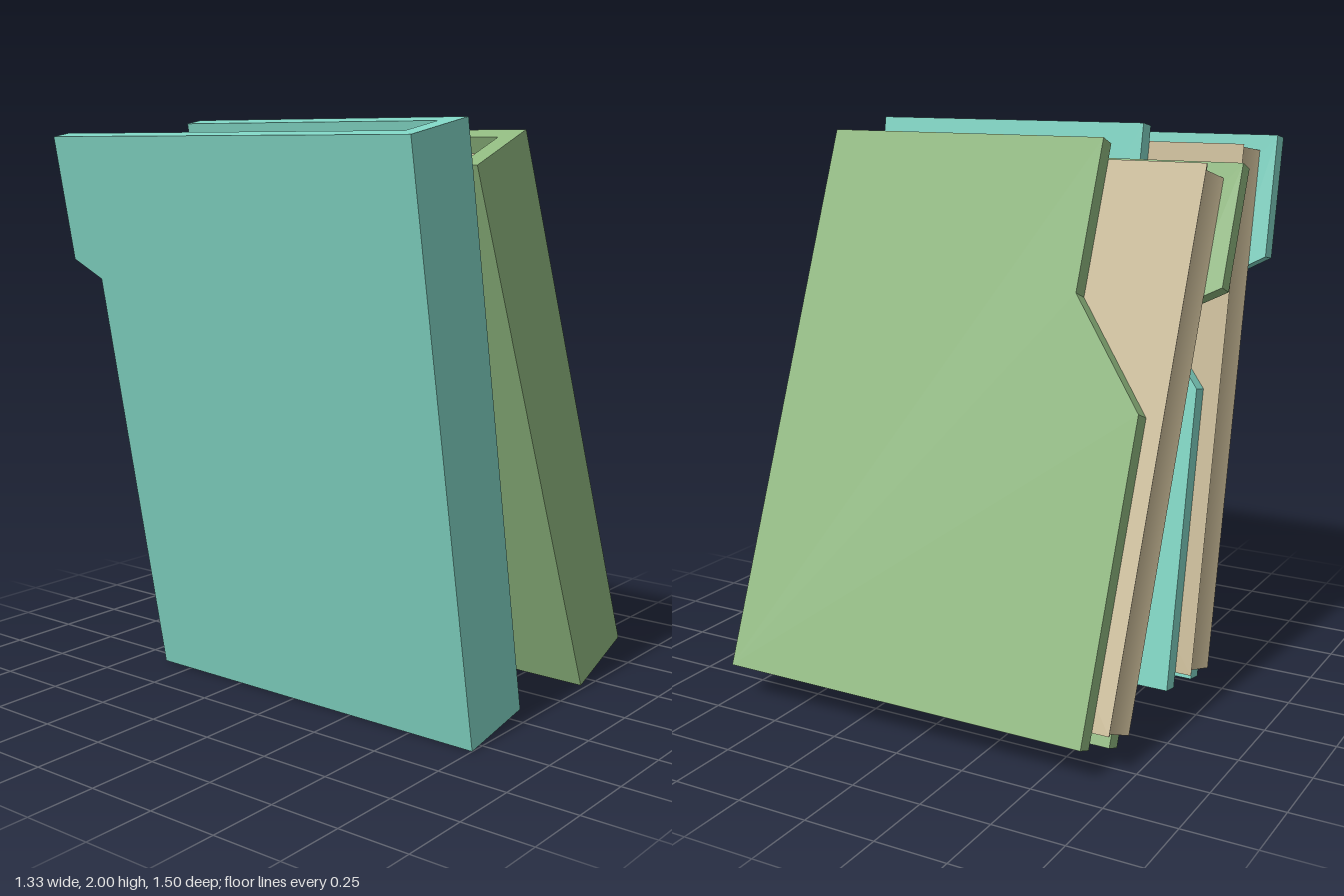
import * as THREE from 'three';
import { toCreasedNormals } from 'three/addons/utils/BufferGeometryUtils.js';

const W = 0.294, H = 1.978, T = 0.065; // book width, height, board thickness
const FRONT = 0.75, INSET = 0.055;
const INNER = W - 2 * T;

const shapeOf = (points) => new THREE.Shape(points.map(([a, b]) => new THREE.Vector2(a, b)));
const extrude = (points, depth) =>
  new THREE.ExtrudeGeometry(shapeOf(points), { depth, bevelEnabled: false });

// Board outlines as [-z, y]
const tabbedBoard = [[-FRONT, 0], [0.63, 0], [0.63, 1.485], [0.75, 1.55], [0.75, H], [-FRONT, H]];
const notchedBoard = [[-FRONT, 0], [0.63, 0], [0.63, 1.07], [0.335, 1.445], [0.335, H], [-FRONT, H]];

// Page block section as [x, -z], with a hollow fore edge
const pageSection = [[-INNER / 2, -0.677], [INNER / 2, -0.677], [INNER / 2, 0.69], [0, 0.66], [-INNER / 2, 0.69]];

function createBook(name, color) {
  const book = new THREE.Group();
  book.name = name;
  const coverMaterial = new THREE.MeshStandardMaterial({ color });
  const pageMaterial = new THREE.MeshStandardMaterial({ color: 0xc8b996 });
  const add = (partName, geometry, material) => {
    const mesh = new THREE.Mesh(geometry, material);
    mesh.name = partName;
    book.add(mesh);
  };

  // Cover boards
  add('tabbedCover', extrude(tabbedBoard, T).rotateY(Math.PI / 2).translate(-W / 2, 0, 0), coverMaterial);
  add('notchedCover', extrude(notchedBoard, T).rotateY(Math.PI / 2).translate(W / 2 - T, 0, 0), coverMaterial);

  // Spine closing the front between the boards
  add('spine', new THREE.BoxGeometry(INNER, H, T).translate(0, H / 2, FRONT - T / 2), coverMaterial);

  // Pages, set in from the cover at top and bottom
  const pages = extrude(pageSection, H - 2 * INSET).rotateX(-Math.PI / 2).translate(0, INSET, 0);
  add('pages', toCreasedNormals(pages, 0.8), pageMaterial);
  return book;
}

export function createModel() {
  const model = new THREE.Group();
  model.name = 'leaningBooks';

  const teal = createBook('tealBook', 0x80d4c3);
  teal.position.set(-0.165, 0.028, 0);
  teal.rotation.z = THREE.MathUtils.degToRad(10.5);

  const green = createBook('greenBook', 0x8fb87f);
  green.position.set(0.528, 0.07, 0);
  green.rotation.z = THREE.MathUtils.degToRad(21.4);

  model.add(teal, green);
  return model;
}
